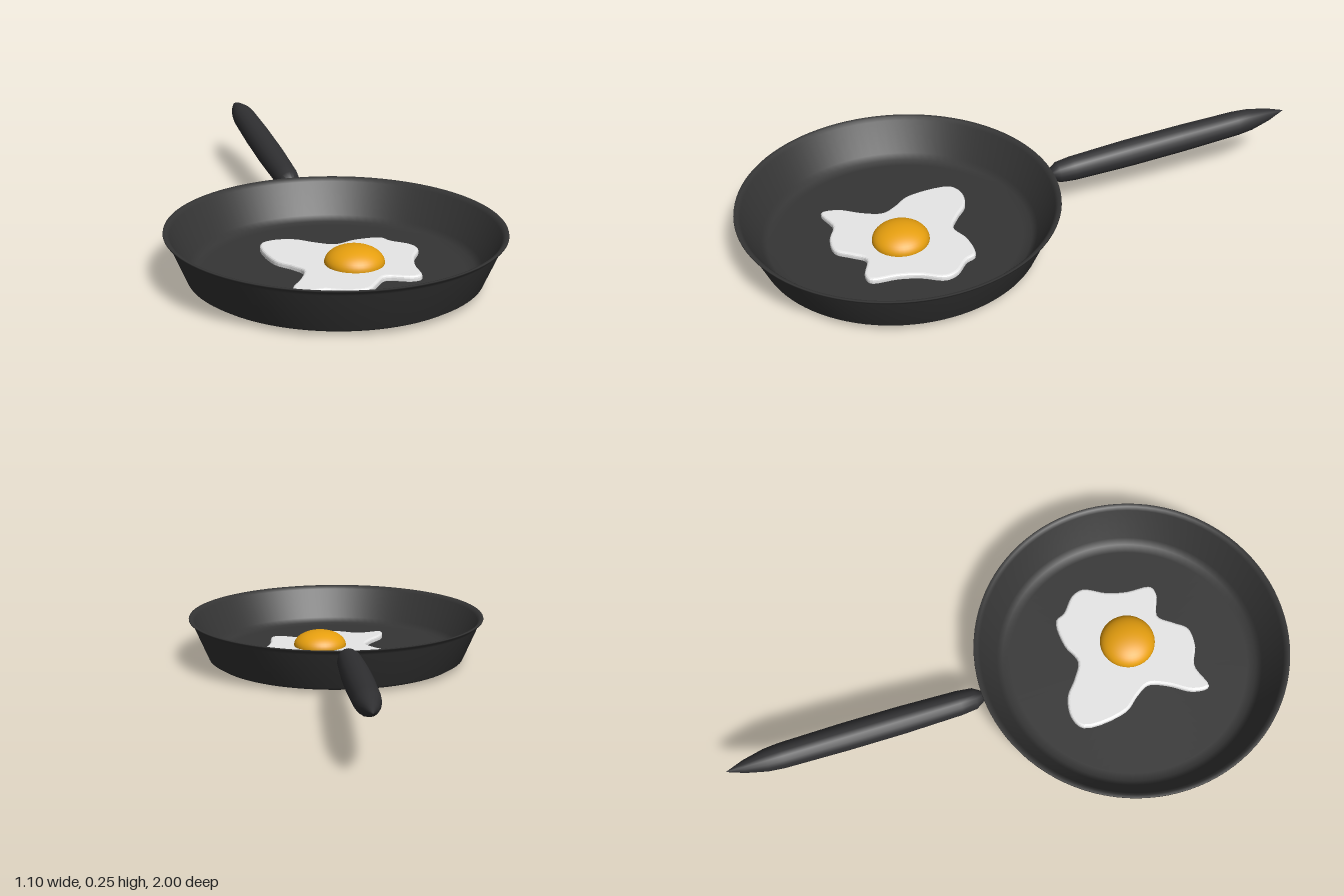
import * as THREE from 'three';

const mat = (name, color, side = THREE.FrontSide) => {
  const m = new THREE.MeshStandardMaterial({ color, side });
  m.name = name;
  return m;
};

const lathe = (points, segments) =>
  new THREE.LatheGeometry(points.map(([r, y]) => new THREE.Vector2(r, y)), segments);

export function createModel() {
  const group = new THREE.Group();
  const iron = mat('dark iron', 0x353535, THREE.DoubleSide);
  const grip = mat('handle black', 0x303032);
  const white = mat('egg white', 0xe8e8e8);
  const yellow = mat('yolk yellow', 0xe9a10f);

  const add = (name, geometry, material, x, y, z) => {
    const mesh = new THREE.Mesh(geometry, material);
    mesh.name = name;
    mesh.position.set(x, y, z);
    group.add(mesh);
    return mesh;
  };

  // Pan body: one profile from the underside, over the rim, to the inner floor
  add('pan', lathe([
    [0, 0.006], [0.44, 0.006], [0.457, 0.009], [0.478, 0.022], [0.534, 0.152],
    [0.541, 0.162], [0.55, 0.168], [0.549, 0.172], [0.538, 0.17], [0.528, 0.16],
    [0.47, 0.055], [0.45, 0.038], [0.42, 0.034], [0, 0.034],
  ], 96), iron, 0, 0, 0.45);

  // Handle: tapered grip leaning slightly upward towards the back
  const handle = add('handle', lathe([
    [0, 0], [0.018, 0.004], [0.037, 0.035], [0.043, 0.09], [0.048, 0.3], [0.048, 0.5],
    [0.044, 0.72], [0.039, 0.775], [0.022, 0.85], [0, 0.912],
  ], 16), grip, 0, 0.148, -0.092);
  handle.rotation.x = -Math.PI / 2 + 0.076;

  // Egg white: wavy outline in x and z, with a soft bevelled edge
  const outline = [
    [-0.19, 0.21], [-0.14, 0.182], [-0.065, 0.195], [-0.01, 0.24], [0.05, 0.275],
    [0.125, 0.25], [0.22, 0.253], [0.24, 0.29], [0.293, 0.34], [0.305, 0.385],
    [0.265, 0.46], [0.245, 0.53], [0.235, 0.62], [0.2, 0.63], [0.12, 0.603],
    [0.08, 0.645], [0.04, 0.69], [-0.03, 0.69], [-0.1, 0.66], [-0.19, 0.68],
    [-0.188, 0.62], [-0.14, 0.545], [-0.115, 0.48], [-0.14, 0.43], [-0.183, 0.37],
  ].map(([x, z]) => new THREE.Vector3(x, -z, 0));
  const curve = new THREE.CatmullRomCurve3(outline, true);
  const edge = curve.getPoints(120).slice(0, -1).map((p) => new THREE.Vector2(p.x, p.y));
  const eggGeometry = new THREE.ExtrudeGeometry(new THREE.Shape(edge), {
    depth: 0.008, bevelEnabled: true, bevelThickness: 0.009, bevelSize: 0.009,
    bevelOffset: -0.009, bevelSegments: 3,
  });
  eggGeometry.rotateX(-Math.PI / 2);
  add('eggWhite', eggGeometry, white, 0, 0.036, 0);

  // Yolk: flattened ball that just reaches through the pan floor
  const yolk = add('yolk', new THREE.SphereGeometry(0.098, 40, 24), yellow, 0.06, 0.055, 0.465);
  yolk.scale.y = 0.055 / 0.098;

  return group;
}
